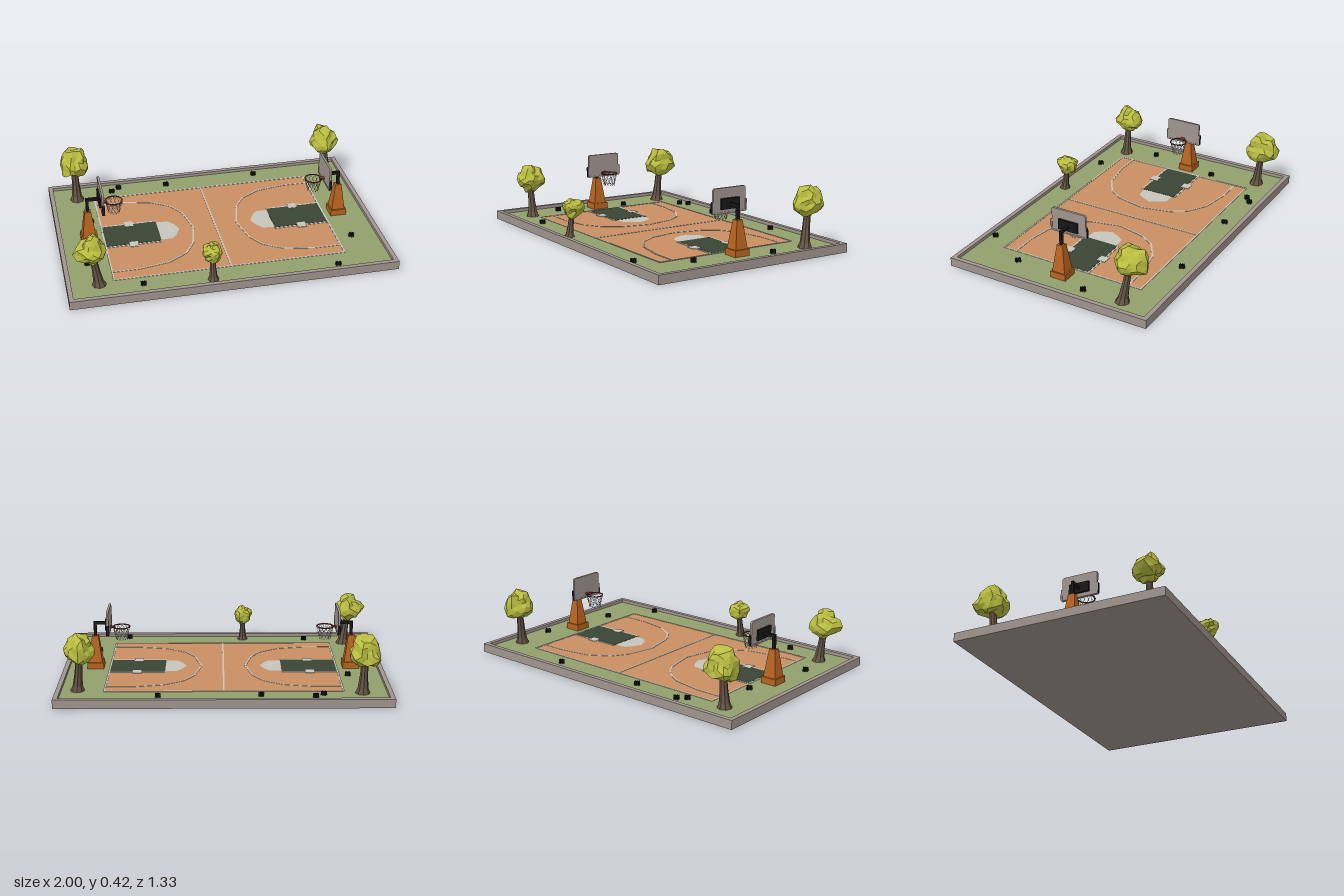
import * as THREE from 'three';
import { mergeGeometries, mergeVertices } from 'three/addons/utils/BufferGeometryUtils.js';

const FLOOR = 0.035;

const paint = (name, color, extra = {}) => {
  const m = new THREE.MeshStandardMaterial({ color, ...extra });
  m.name = name;
  return m;
};

export function createModel() {
  const mat = {
    stone: paint('stone', 0xa1958f),
    grass: paint('grass', 0x929f6b),
    court: paint('clay court', 0xc98e63),
    key: paint('dark green key', 0x3a4535),
    line: paint('court line', 0xc6c5bd),
    leaf: paint('leaf', 0xb9bd40, { flatShading: true }),
    bark: paint('bark', 0x655445, { flatShading: true }),
    orange: paint('stand orange', 0xb9641f, { flatShading: true }),
    black: paint('black metal', 0x171717, { side: THREE.DoubleSide }),
    rim: paint('rim red', 0x7a3a2c),
  };
  const model = new THREE.Group();
  model.name = 'basketballCourt';

  const add = (parent, name, geo, material, x = 0, y = 0, z = 0) => {
    const m = new THREE.Mesh(geo, material);
    m.name = name;
    m.position.set(x, y, z);
    parent.add(m);
    return m;
  };
  const box = (parent, name, material, w, h, d, x, y, z) =>
    add(parent, name, new THREE.BoxGeometry(w, h, d), material, x, y, z);
  // flat polygon on the ground from [x, z] points
  const flat = (name, material, pts, y) => {
    const shape = new THREE.Shape(pts.map(([x, z]) => new THREE.Vector2(x, -z)));
    return add(model, name, new THREE.ShapeGeometry(shape).rotateX(-Math.PI / 2), material, 0, y, 0);
  };
  // painted line following [x, z] points
  const stripe = (name, pts, width = 0.01) => {
    const parts = [];
    for (let i = 1; i < pts.length; i++) {
      const [ax, az] = pts[i - 1], [bx, bz] = pts[i];
      parts.push(new THREE.BoxGeometry(Math.hypot(bx - ax, bz - az) + width * 0.5, 0.002, width)
        .rotateY(-Math.atan2(bz - az, bx - ax))
        .translate((ax + bx) / 2, FLOOR + 0.004, (az + bz) / 2));
    }
    add(model, name, mergeGeometries(parts), mat.line);
  };

  // slab, raised curb and lawn
  box(model, 'slab', mat.stone, 2, 0.03, 1.334, 0, 0.015, 0);
  const rect = (Type, w, h) => new Type([[-w, -h], [w, -h], [w, h], [-w, h]].map(p => new THREE.Vector2(...p)));
  const curb = rect(THREE.Shape, 1, 0.667);
  curb.holes.push(rect(THREE.Path, 0.972, 0.639));
  add(model, 'curb', new THREE.ExtrudeGeometry(curb, { depth: 0.025, bevelEnabled: false }).rotateX(-Math.PI / 2), mat.stone, 0, 0.03, 0);
  box(model, 'lawn', mat.grass, 1.944, 0.005, 1.278, 0, FLOOR - 0.0025, 0);

  // playing surface and its markings
  box(model, 'playingSurface', mat.court, 1.43, 0.003, 0.95, 0, FLOOR + 0.0015, 0);
  stripe('boundaryLine', [[-0.715, -0.475], [0.715, -0.475], [0.715, 0.475], [-0.715, 0.475], [-0.715, -0.475]]);
  stripe('centreLine', [[0, -0.475], [0, 0.475]]);
  for (const s of [-1, 1]) {
    const half = [[0.715, 0.39], [0.545, 0.39], [0.362, 0.357], [0.242, 0.282], [0.18, 0.183]];
    const arc = [...half, [0.14, 0], ...half.map(([x, z]) => [x, -z]).reverse()];
    stripe('longShotLine', arc.map(([x, z]) => [s * x, z]));
    flat('freeThrowArea', mat.line, [[0.37, -0.105], [0.29, -0.1], [0.258, -0.06], [0.232, 0],
      [0.258, 0.06], [0.29, 0.1], [0.37, 0.105]].map(([x, z]) => [s * x, z]), FLOOR + 0.004);
    box(model, 'key', mat.key, 0.345, 0.003, 0.228, s * 0.5375, FLOOR + 0.004, 0);
    for (const k of [-1, 1]) {
      stripe('keySideLine', [[s * 0.715, k * 0.12], [s * 0.365, k * 0.12]]);
      box(model, 'laneMark', mat.line, 0.055, 0.003, 0.055, s * 0.54, FLOOR + 0.005, k * 0.118);
    }
  }

  // hoops
  const bar = (a, b, r, sides) => {
    const dir = b.clone().sub(a);
    return new THREE.CylinderGeometry(r, r, dir.length(), sides, 1, true)
      .applyQuaternion(new THREE.Quaternion().setFromUnitVectors(new THREE.Vector3(0, 1, 0), dir.clone().normalize()))
      .translate(...a.clone().add(b).multiplyScalar(0.5).toArray());
  };
  const boardShape = new THREE.Shape();
  boardShape.moveTo(-0.115, 0.275).lineTo(0.115, 0.275).lineTo(0.115, 0.405);
  boardShape.quadraticCurveTo(0.115, 0.42, 0.1, 0.42).lineTo(-0.1, 0.42);
  boardShape.quadraticCurveTo(-0.115, 0.42, -0.115, 0.405).closePath();
  const boardGeo = new THREE.ExtrudeGeometry(boardShape, { depth: 0.014, bevelEnabled: false, curveSegments: 4 }).rotateY(Math.PI / 2);

  for (const s of [1, -1]) {
    const hoop = new THREE.Group();
    hoop.name = s > 0 ? 'leftHoop' : 'rightHoop';
    hoop.rotation.y = s > 0 ? 0 : Math.PI;
    model.add(hoop);
    box(hoop, 'standFoot', mat.orange, 0.102, 0.04, 0.102, 0.805, FLOOR + 0.02, 0);
    add(hoop, 'standTower', new THREE.CylinderGeometry(0.028, 0.06, 0.17, 4).rotateY(Math.PI / 4), mat.orange, 0.805, 0.16, 0);
    box(hoop, 'post', mat.black, 0.018, 0.09, 0.018, 0.805, 0.28, 0);
    box(hoop, 'arm', mat.black, 0.09, 0.018, 0.018, 0.769, 0.325, 0);
    box(hoop, 'boardMount', mat.black, 0.012, 0.065, 0.13, 0.731, 0.327, 0);
    add(hoop, 'backboard', boardGeo, mat.stone, 0.711, 0, 0);
    // padding round the lower corners
    for (const k of [-1, 1]) {
      box(hoop, 'sidePad', mat.stone, 0.018, 0.07, 0.008, 0.718, 0.307, k * 0.117);
      box(hoop, 'padEdge', mat.black, 0.016, 0.064, 0.004, 0.718, 0.307, k * 0.122);
    }
    box(hoop, 'bottomPad', mat.stone, 0.018, 0.01, 0.238, 0.718, 0.274, 0);
    box(hoop, 'rimBracket', mat.rim, 0.03, 0.01, 0.03, 0.697, 0.298, 0);
    add(hoop, 'rim', new THREE.TorusGeometry(0.053, 0.004, 6, 16).rotateX(Math.PI / 2), mat.rim, 0.64, 0.3, 0);
    // net strands wind both ways into diamonds
    const rings = [[0.053, 0.3], [0.047, 0.272], [0.04, 0.245], [0.035, 0.218]];
    const strands = [];
    const knot = (i, t) => new THREE.Vector3(Math.cos(t) * rings[i][0], rings[i][1], Math.sin(t) * rings[i][0]);
    for (let n = 0; n < 12; n++)
      for (const turn of [-1, 1])
        for (let i = 0; i < 3; i++) {
          const t = n * Math.PI / 6, d = turn * Math.PI / 12;
          strands.push(bar(knot(i, t + i * d), knot(i + 1, t + (i + 1) * d), 0.0013, 3));
        }
    add(hoop, 'net', mergeGeometries(strands), mat.line, 0.64, 0, 0);
  }

  // trees: leaning flared trunk and a lumpy faceted crown
  const rng = seed => () => {
    seed = (seed * 16807) % 2147483647;
    return seed / 2147483647;
  };
  const tree = (name, base, centre, size, girth, seed) => {
    const g = new THREE.Group();
    g.name = name;
    model.add(g);
    const rise = centre[1] - FLOOR;
    const profile = [[1, 0], [0.72, 0.12], [0.55, 0.4], [0.48, 0.7], [0.4, 1]];
    const trunk = new THREE.LatheGeometry(profile.map(([r, t]) => new THREE.Vector2(r * girth, t * rise)), 8);
    const p = trunk.attributes.position;
    for (let i = 0; i < p.count; i++) {
      const t = p.getY(i) / rise;
      p.setX(i, p.getX(i) + (centre[0] - base[0]) * t);
      p.setZ(i, p.getZ(i) + (centre[2] - base[1]) * t);
    }
    trunk.computeVertexNormals();
    add(g, 'trunk', trunk, mat.bark, base[0], FLOOR, base[1]);

    const rand = rng(seed);
    let crown = new THREE.IcosahedronGeometry(1, 2);
    crown.deleteAttribute('normal');
    crown.deleteAttribute('uv');
    crown = mergeVertices(crown, 1e-3);
    const c = crown.attributes.position, v = new THREE.Vector3();
    for (let i = 0; i < c.count; i++) {
      v.fromBufferAttribute(c, i);
      const lump = 0.07 * Math.sin(5 * v.x + seed) + 0.07 * Math.sin(5 * v.y + 2 * seed) + 0.06 * Math.sin(6 * v.z);
      v.multiplyScalar(0.88 + lump + (rand() - 0.5) * 0.24);
      c.setXYZ(i, v.x * size[0], v.y * size[1], v.z * size[2]);
    }
    crown.computeVertexNormals();
    add(g, 'crown', crown, mat.leaf, ...centre);
  };
  tree('backRightTree', [-0.825, -0.5], [-0.83, 0.3, -0.53], [0.1, 0.11, 0.11], 0.045, 11);
  tree('backLeftTree', [0.875, -0.445], [0.85, 0.305, -0.485], [0.1, 0.1, 0.11], 0.043, 27);
  tree('frontRightTree', [-0.805, 0.495], [-0.84, 0.28, 0.495], [0.1, 0.1, 0.1], 0.043, 45);
  tree('smallFrontTree', [-0.135, 0.585], [-0.135, 0.215, 0.56], [0.066, 0.07, 0.073], 0.034, 63);

  // tufts: upright crossed blades
  const tuftSpots = [[-0.59, -0.54], [-0.54, -0.58], [-0.22, -0.555], [-0.77, -0.19], [-0.85, 0.28],
    [-0.55, 0.556], [0.635, 0.6], [0.81, 0.31], [0.89, -0.195], [0.39, -0.57]];
  tuftSpots.forEach(([x, z], n) => {
    const blades = [];
    for (let i = 0; i < 4; i++)
      blades.push(new THREE.PlaneGeometry(0.036, 0.026).rotateY(n + i * Math.PI / 4));
    add(model, 'grassTuft', mergeGeometries(blades), mat.black, x, FLOOR + 0.013, z);
  });

  return model;
}
